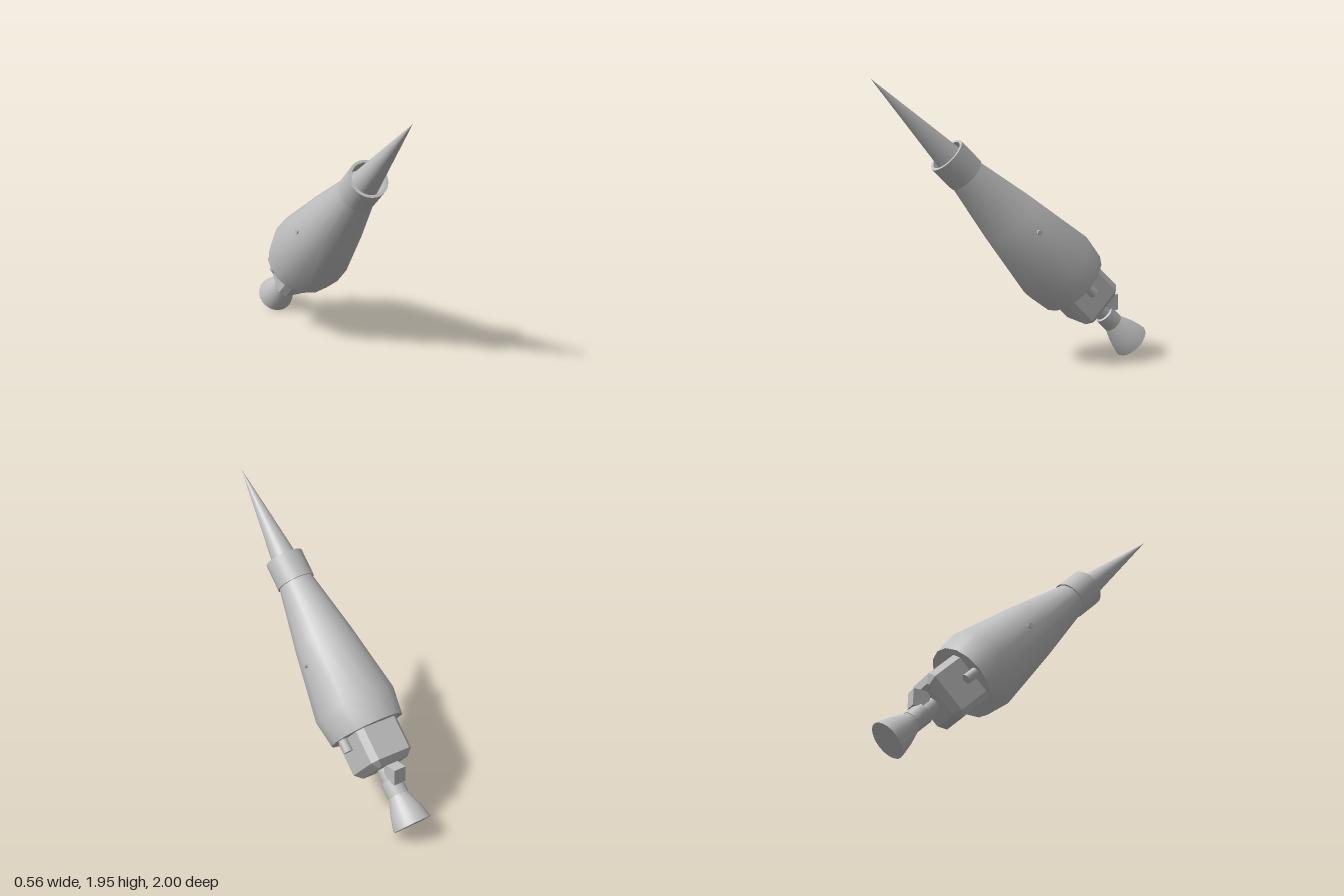
import * as THREE from 'three';
import { toCreasedNormals } from 'three/addons/utils/BufferGeometryUtils.js';

const grey = new THREE.MeshStandardMaterial({ color: 0xc0c0c0 });
grey.name = 'hullGrey';

export function createModel() {
  const model = new THREE.Group();
  model.name = 'rocket';

  // Everything is built along local +y (nozzle at 0, tip at 2.67), then tilted
  const craft = new THREE.Group();
  craft.name = 'craft';
  model.add(craft);

  const add = (name, geometry, x = 0, y = 0, z = 0) => {
    const mesh = new THREE.Mesh(geometry, grey);
    mesh.name = name;
    mesh.position.set(x, y, z);
    craft.add(mesh);
    return mesh;
  };
  // Turned part from [radius, height] pairs
  const turned = (name, profile, sides) => add(name, toCreasedNormals(
    new THREE.LatheGeometry(profile.map(([r, h]) => new THREE.Vector2(r, h)), sides), 0.6));

  // Engine bell and neck
  turned('nozzle', [[0, 0], [0.131, 0], [0.126, 0.03], [0.108, 0.1], [0.08, 0.175],
    [0.066, 0.215], [0, 0.215]], 24);
  turned('neck', [[0, 0.21], [0.072, 0.21], [0.072, 0.315], [0.058, 0.32], [0.058, 0.42],
    [0, 0.42]], 24);

  // Engine housing with chamfered edges
  const hw = 0.163, hh = 0.173, c = 0.018, bevel = 0.045;
  const outline = new THREE.Shape([
    [-hw + c, -hh], [hw - c, -hh], [hw, -hh + c], [hw, hh - c],
    [hw - c, hh], [-hw + c, hh], [-hw, hh - c], [-hw, -hh + c],
  ].map(([x, y]) => new THREE.Vector2(x * (1 - bevel / hw), y * (1 - bevel / hh))));
  const housing = new THREE.ExtrudeGeometry(outline, {
    depth: 0.26, bevelThickness: bevel, bevelSize: bevel, bevelSegments: 1,
  });
  housing.rotateX(-Math.PI / 2);
  add('engineHousing', toCreasedNormals(housing, 0.3), 0, 0.45);

  // Lug between housing and neck
  const lug = add('lug', new THREE.BoxGeometry(0.09, 0.11, 0.11), 0, 0.347, -0.08);
  lug.rotation.x = Math.PI / 4;

  // Tapered hull
  turned('hull', [[0, 0.677], [0.258, 0.677], [0.284, 0.857], [0.204, 1.354],
    [0.122, 1.78], [0.115, 1.86], [0, 1.86]], 16);

  // Pegs under the hull and small studs on its flanks
  for (const side of [-1, 1]) {
    add('peg', new THREE.CylinderGeometry(0.032, 0.032, 0.12, 16), side * 0.2, 0.65, 0);
    const stud = add('stud', new THREE.CylinderGeometry(0.018, 0.018, 0.03, 12),
      side * 0.22, 1.216, -0.02);
    stud.rotation.z = Math.PI / 2;
  }

  // Hollow collar and nose spike
  turned('collar', [[0.11, 1.78], [0.131, 1.78], [0.131, 1.97], [0.112, 1.97],
    [0.112, 1.85]], 32);
  turned('noseSpike', [[0, 1.85], [0.102, 1.85], [0, 2.674]], 32);

  // Tilt the axis forward and place the nozzle end
  const axis = new THREE.Vector3(0.2, 1.86, 1.91).normalize();
  const across = new THREE.Vector3(axis.z, 0, -axis.x).normalize();
  const down = new THREE.Vector3().crossVectors(across, axis);
  craft.quaternion.setFromRotationMatrix(new THREE.Matrix4().makeBasis(across, axis, down));
  craft.position.set(-0.068, 0.094, -0.91);
  return model;
}
